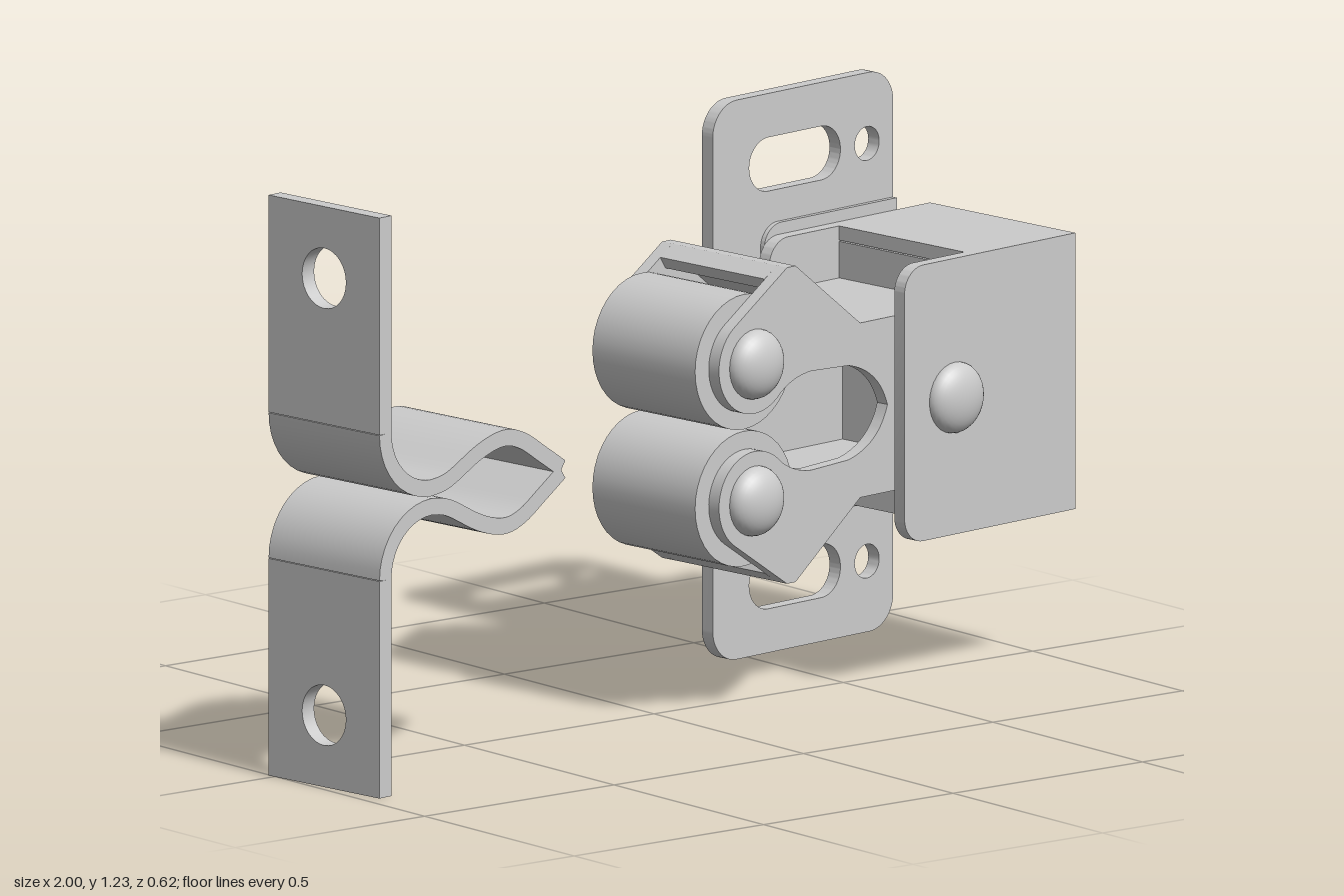
import * as THREE from 'three';
import { toCreasedNormals } from 'three/addons/utils/BufferGeometryUtils.js';

const MID = 0.615; // height of the mirror plane
const V = (x, y) => new THREE.Vector2(x, y);
const material = new THREE.MeshStandardMaterial({ color: 0xcccccc, side: THREE.DoubleSide });

function add(parent, name, geometry, x = 0, y = 0, z = 0) {
  const mesh = new THREE.Mesh(geometry, material);
  mesh.name = name;
  mesh.position.set(x, y, z);
  parent.add(mesh);
  return mesh;
}

// Extrude a shape from z0 to z1
function slab(shape, z0, z1) {
  const g = new THREE.ExtrudeGeometry(shape, { depth: z1 - z0, bevelEnabled: false, curveSegments: 16 });
  g.translate(0, 0, z0);
  return toCreasedNormals(g, 0.5);
}

// Rounded rectangle; rl and rr are the left and right corner radii
function roundRect(x0, y0, x1, y1, rl, rr = rl, Type = THREE.Shape) {
  const s = new Type();
  const corner = (x, y, r, a) => (r ? s.absarc(x, y, r, a, a + Math.PI / 2) : s.lineTo(x, y));
  s.moveTo(x0 + rl, y0);
  corner(x1 - rr, y0 + rr, rr, -Math.PI / 2);
  corner(x1 - rr, y1 - rr, rr, 0);
  corner(x0 + rl, y1 - rl, rl, Math.PI / 2);
  corner(x0 + rl, y0 + rl, rl, Math.PI);
  return s;
}

function circleHole(x, y, r) {
  return new THREE.Path().absarc(x, y, r, 0, Math.PI * 2);
}

// Bent sheet outline: a centre line thickened by t with mitred corners
function strip(points, t) {
  const a = [], b = [];
  points.forEach((p, i) => {
    const d0 = p.clone().sub(points[Math.max(i - 1, 0)]).normalize();
    const d1 = points[Math.min(i + 1, points.length - 1)].clone().sub(p).normalize();
    const d = d0.clone().add(d1).normalize();
    const k = t / 2 / Math.max(0.5, d.dot(d1.lengthSq() ? d1 : d0));
    a.push(V(p.x - d.y * k, p.y + d.x * k));
    b.unshift(V(p.x + d.y * k, p.y - d.x * k));
  });
  return new THREE.Shape([...a, ...b]);
}

const flip = (points, s) => points.map((p) => V(p.x, MID + s * p.y));

function dome(parent, name, r, h, x, y, z) {
  const g = new THREE.SphereGeometry(r, 32, 10, 0, Math.PI * 2, 0, Math.PI / 2);
  g.rotateX(Math.PI / 2);
  g.scale(1, 1, h / r);
  add(parent, name, g, x, y, z);
}

function rod(parent, name, r, x, y, z0, z1) {
  const g = new THREE.CylinderGeometry(r, r, z1 - z0, 40);
  g.rotateX(Math.PI / 2);
  add(parent, name, g, x, y, (z0 + z1) / 2);
}

// Spear-shaped striker: two mirrored bent strips, each with a drilled flange
function makeStriker() {
  const g = new THREE.Group();
  g.name = 'striker';
  const t = 0.035, z0 = -0.137, z1 = 0.187, zc = 0.025;
  const line = [];
  for (let i = 0; i <= 10; i++) {
    const a = Math.PI + (i / 10) * Math.PI / 2;
    line.push(V(-0.842 + 0.135 * Math.cos(a), 0.155 + 0.135 * Math.sin(a)));
  }
  const eye = new THREE.SplineCurve([V(-0.842, 0.02), V(-0.79, 0.03), V(-0.70, 0.075),
    V(-0.63, 0.093), V(-0.575, 0.08), V(-0.515, 0.042), V(-0.458, 0.004)]);
  line.push(...eye.getPoints(30).slice(1));
  for (const s of [1, -1]) {
    const side = s > 0 ? 'upper' : 'lower';
    add(g, side + 'Spear', slab(strip(flip(line, s), t), z0, z1));
    const y0 = MID + s * 0.155, y1 = MID + s * 0.615;
    const flange = roundRect(z0 - zc, Math.min(y0, y1), z1 - zc, Math.max(y0, y1), 0);
    flange.holes.push(circleHole(0, MID + s * 0.463, 0.064));
    const mesh = add(g, side + 'Flange', slab(flange, -t / 2, t / 2), -0.977, 0, zc);
    mesh.rotation.y = -Math.PI / 2;
  }
  return g;
}

// Jaw: two cheeks joined by a bent web, holding a roller on a pin
function makeJaw(s) {
  const g = new THREE.Group();
  g.name = s > 0 ? 'upperJaw' : 'lowerJaw';
  const px = 0.085, py = 0.145;
  const outline = new THREE.Shape();
  outline.moveTo(0.68, 0.185);
  outline.lineTo(0.395, 0.185);
  outline.lineTo(0.205, 0.335);
  outline.lineTo(0.18, 0.335);
  outline.absarc(px, py, 0.105, 2.16, 5.4);
  outline.quadraticCurveTo(0.19, 0.1, 0.25, 0.105);
  outline.lineTo(0.36, 0.1);
  outline.quadraticCurveTo(0.45, 0.08, 0.475, 0);
  outline.lineTo(0.68, 0);
  const cheek = new THREE.Shape(flip(outline.getPoints(16), s));
  add(g, 'frontCheek', slab(cheek, 0.18, 0.21));
  add(g, 'backCheek', slab(cheek, -0.155, -0.125));
  const web = [V(0.152, 0.299), V(0.185, 0.32), V(0.2, 0.32), V(0.39, 0.17), V(0.68, 0.17)];
  add(g, 'web', slab(strip(flip(web, s), 0.03), -0.125, 0.18));
  const y = MID + s * py;
  rod(g, 'roller', 0.143, px, y, -0.122, 0.178);
  rod(g, 'pin', 0.055, px, y, -0.182, 0.2);
  dome(g, 'pinHead', 0.074, 0.045, px, y, 0.21);
  return g;
}

// Hollow housing, open on the jaw side and notched above and below
function makeHousing() {
  const g = new THREE.Group();
  g.name = 'housing';
  const y0 = 0.325, y1 = 0.91, x1 = 0.977;
  const cheek = roundRect(0.475, y0, x1, y1, 0.055, 0);
  add(g, 'frontWall', slab(cheek, 0.23, 0.26));
  add(g, 'backWall', slab(cheek, -0.165, -0.135));
  for (const y of [y0 + 0.015, y1 - 0.015])
    add(g, 'capWall', new THREE.BoxGeometry(x1 - 0.68, 0.03, 0.365), (x1 + 0.68) / 2, y, 0.0475);
  // End wall with a rounded window, drawn with -z to the right
  const end = roundRect(-0.23, y0 + 0.03, 0.135, y1 - 0.03, 0);
  end.holes.push(roundRect(-0.188, 0.44, 0.08, 0.79, 0.035, 0.035, THREE.Path));
  const wall = add(g, 'endWall', slab(end, -0.03, 0), x1, 0, 0);
  wall.rotation.y = Math.PI / 2;
  add(g, 'innerWall', new THREE.BoxGeometry(0.02, y1 - y0 - 0.06, 0.365), 0.69, MID, 0.0475);
  dome(g, 'rivetHead', 0.075, 0.04, 0.623, MID, 0.26);
  return g;
}

// Mounting plate with slots, screw holes and a raised pad
function makeMount() {
  const g = new THREE.Group();
  g.name = 'mount';
  const plate = roundRect(0.35, 0.025, 0.88, 1.21, 0.07);
  for (const y of [0.175, 1.06]) {
    plate.holes.push(roundRect(0.457, y - 0.057, 0.725, y + 0.057, 0.0565, 0.0565, THREE.Path));
    plate.holes.push(circleHole(0.803, y, 0.036));
  }
  add(g, 'mountingPlate', slab(plate, -0.208, -0.176));
  add(g, 'raisedPad', slab(roundRect(0.49, 0.3, 0.88, 0.935, 0.05, 0), -0.176, -0.165));
  return g;
}

export function createModel() {
  const model = new THREE.Group();
  model.name = 'rollerCatch';
  model.add(makeStriker(), makeJaw(1), makeJaw(-1), makeHousing(), makeMount());
  model.rotation.y = 0.12; // the whole catch sits slightly turned
  const root = new THREE.Group();
  root.add(model);
  return root;
}
